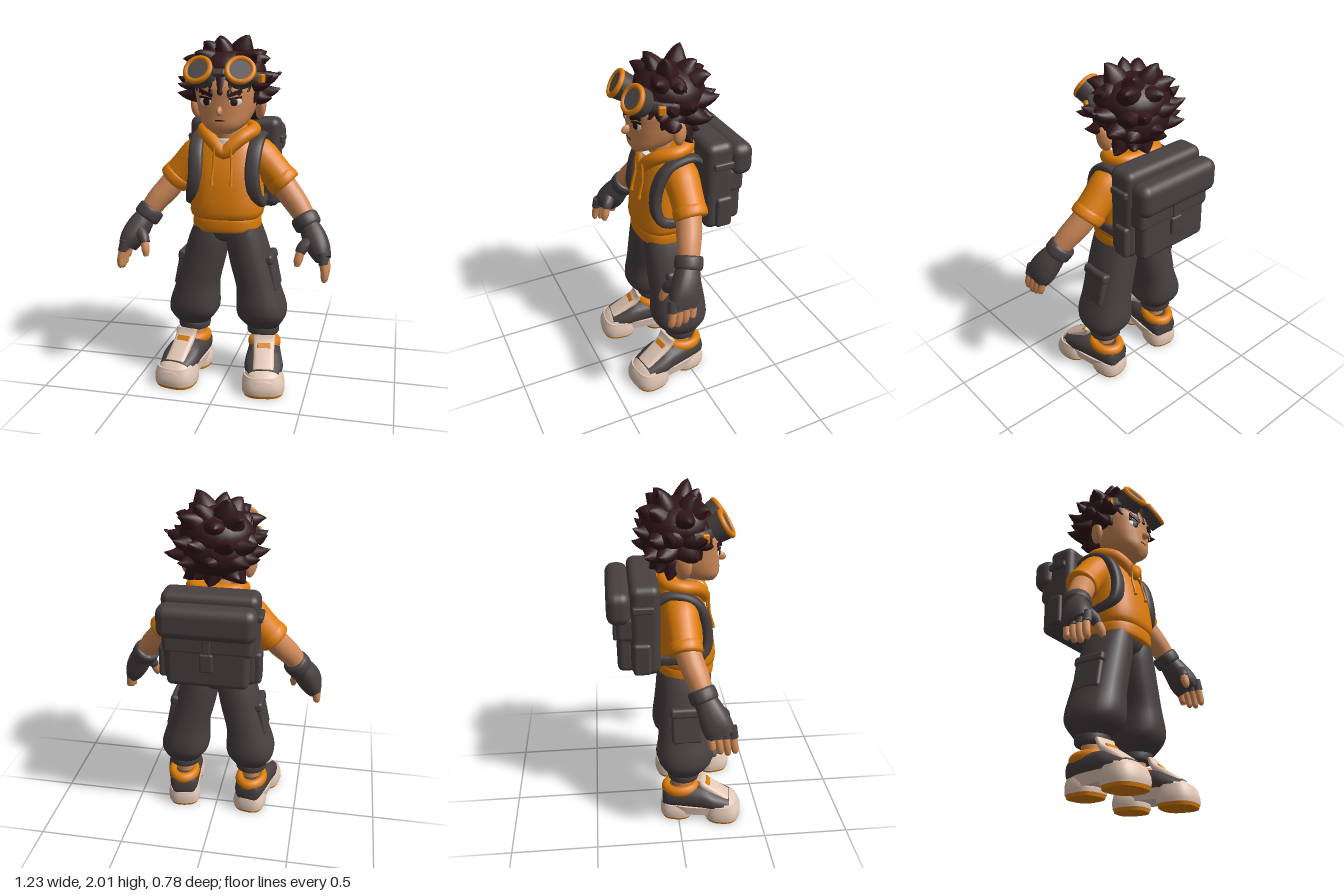
import * as THREE from 'three';
import { toCreasedNormals } from 'three/addons/utils/BufferGeometryUtils.js';
import { RoundedBoxGeometry } from 'three/addons/geometries/RoundedBoxGeometry.js';

const V = (x, y, z) => new THREE.Vector3(x, y, z);
const UP = V(0, 1, 0), DOWN = V(0, -1, 0), FWD = V(0, 0, 1);
const { sin, cos, PI } = Math;

// Smooth skin over rings [x, y, z, halfWidth, halfDepth = halfWidth]; rings face `axis` or follow the path
function loft(input, { axis, n = 20, sub = 3, p = 2 } = {}) {
  const rings = input.map(r => (r.length < 5 ? [...r, r[3]] : r));
  const R = [], last = rings.length - 1;
  for (let i = 0; i < last; i++) {
    const q = [-1, 0, 1, 2].map(k => rings[Math.min(last, Math.max(0, i + k))]);
    for (let k = 0; k < sub; k++) {
      const t = k / sub;
      R.push(q[1].map((b, c) => {
        const a = q[0][c], d = q[2][c], e = q[3][c];
        const v = 0.5 * (2 * b + (d - a) * t + (2 * a - 5 * b + 4 * d - e) * t * t + (3 * b - a - 3 * d + e) * t * t * t);
        return c > 2 ? Math.max(v, 0.001) : v;
      }));
    }
  }
  R.push(rings[last]);
  const pos = [], idx = [], end = R.length - 1;
  const pow = v => Math.sign(v) * Math.abs(v) ** (2 / p);
  R.forEach((r, j) => {
    const a = R[Math.max(0, j - 1)], b = R[Math.min(end, j + 1)];
    const T = axis || V(b[0] - a[0], b[1] - a[1], b[2] - a[2]).normalize();
    const U = Math.abs(T.x) > 0.9 ? V(0, 0, 1) : V(1, 0, 0);
    U.addScaledVector(T, -U.dot(T)).normalize();
    const W = T.clone().cross(U);
    for (let i = 0; i < n; i++) {
      const th = i / n * PI * 2, k = (i + 1) % n, o = j * n;
      const pt = V(r[0], r[1], r[2]).addScaledVector(U, r[3] * pow(cos(th))).addScaledVector(W, r[4] * pow(sin(th)));
      pos.push(pt.x, pt.y, pt.z);
      if (j < end) idx.push(o + i, o + k, o + n + k, o + i, o + n + k, o + n + i);
    }
  });
  const c0 = R.length * n;
  pos.push(...R[0].slice(0, 3), ...R[end].slice(0, 3));
  for (let i = 0; i < n; i++) {
    const k = (i + 1) % n;
    idx.push(c0, k, i, c0 + 1, end * n + i, end * n + k);
  }
  const g = new THREE.BufferGeometry();
  g.setAttribute('position', new THREE.Float32BufferAttribute(pos, 3));
  g.setIndex(idx);
  return toCreasedNormals(g, 1.0);
}

const mir = (rings, s) => rings.map(([x, ...r]) => [x * s, ...r]);
const mix = (a, b, t) => a.map((v, i) => v + (b[i] - v) * t);

// Rolled band of cloth from one point to another
const cuff = (a, b, r) => [0, 0.18, 0.82, 1].map((t, i) => [...mix(a, b, t), i % 3 ? r : r * 0.88]);

// Adds meshes to one parent
const adder = parent => (name, geo, m, pos = [0, 0, 0], rot = [0, 0, 0], scale = [1, 1, 1]) => {
  const mesh = new THREE.Mesh(geo, m);
  mesh.name = name;
  mesh.position.set(...pos);
  mesh.rotation.set(...rot);
  mesh.scale.set(...scale);
  parent.add(mesh);
};

function subGroup(parent, name, pos, pitch, yaw) {
  const g = new THREE.Group();
  g.name = name;
  g.position.set(...pos);
  g.rotation.set(pitch, yaw, 0, 'YXZ');
  parent.add(g);
  return adder(g);
}

export function createModel() {
  const mat = (name, color) => new THREE.MeshStandardMaterial({ name, color });
  const skin = mat('skin', 0xd08a58), orange = mat('orange', 0xde7d08), dark = mat('charcoal', 0x484041);
  const hair = mat('hair', 0x311619), cream = mat('cream', 0xe3c8b7);
  const white = mat('white', 0xe8e4e0), eyeDark = mat('eye dark', 0x2a1614), lens = mat('lens', 0x55504f);
  const root = new THREE.Group();
  root.name = 'character';
  const add = adder(root);
  const ball = new THREE.SphereGeometry(1, 24, 16);
  const box = (w, h, d, r = 0.02) => new RoundedBoxGeometry(w, h, d, 3, r);
  const plate = (w, h) => new THREE.BoxGeometry(w, h, 0.009);

  // Head, neck and face
  add('head', loft([[0, 1.478, 0.18, 0.05], [0, 1.52, 0.135, 0.115], [0, 1.58, 0.09, 0.15, 0.16],
    [0, 1.66, 0.07, 0.17, 0.18], [0, 1.76, 0.06, 0.175, 0.18], [0, 1.9, 0.04, 0.08]], { axis: UP, n: 28, p: 2.3 }), skin);
  add('neck', loft([[0, 1.36, 0.05, 0.075], [0, 1.56, 0.07, 0.07]], { axis: UP }), skin);
  add('undershirt', loft([[0, 1.35, 0.08, 0.09, 0.1], [0, 1.44, 0.07, 0.09, 0.1]], { axis: UP }), white);
  add('nose', ball, skin, [0, 1.605, 0.258], [0.35, 0, 0], [0.016, 0.024, 0.034]);
  add('mouth', plate(0.05, 0.007), eyeDark, [0, 1.553, 0.247]);
  for (const s of [1, -1]) {
    add('ear', ball, skin, [s * 0.185, 1.612, 0.035], [0.15, s * 0.45, s * -0.15], [0.028, 0.07, 0.045]);
    add('eyeWhite', ball, white, [s * 0.083, 1.655, 0.236], [0, s * 0.33, 0], [0.036, 0.022, 0.005]);
    add('iris', ball, eyeDark, [s * 0.077, 1.655, 0.241], [0, s * 0.33, 0], [0.021, 0.022, 0.005]);
    add('upperLid', plate(0.074, 0.01), eyeDark, [s * 0.083, 1.675, 0.238], [0, s * 0.33, s * 0.15]);
    add('eyebrow', plate(0.085, 0.02), hair, [s * 0.08, 1.7, 0.241], [0, s * 0.33, s * 0.33]);
  }

  // Hair: two rounded masses covered in broad tapering locks
  add('hairCap', ball, hair, [0, 1.8, 0.015], [-0.1, 0, 0], [0.21, 0.14, 0.195]);
  add('hairBack', ball, hair, [0, 1.71, -0.05], [0, 0, 0], [0.185, 0.14, 0.135]);
  const lock = (a, b, r) => {
    const bend = b[1] > a[1] + 0.06 ? 0.016 : -0.016;
    const ring = (t, lift, k) => { const [x, y, z] = mix(a, b, t); return [x, y + lift, z, r * k, r * k * 0.8]; };
    add('hairLock', loft([ring(0, 0, 1), ring(0.4, bend, 0.85), ring(0.75, bend, 0.42), ring(1, 0, 0.02)], { n: 12 }), hair);
  };
  // Rows fan around the back: count, fan angle, base height and radius, tip height and radius, thickness
  const rows = [
    [4, 4.4, 1.83, 0.06, 1.985, 0.16, 0.085], [7, 5, 1.8, 0.07, 1.895, 0.255, 0.09], [8, 4, 1.76, 0.08, 1.8, 0.3, 0.09],
    [7, 3.7, 1.71, 0.08, 1.69, 0.295, 0.085], [5, 2.6, 1.67, 0.06, 1.555, 0.19, 0.08]];
  rows.forEach(([n, fan, y, r, tipY, tipR, w], row) => {
    for (let i = 0; i < n; i++) {
      const a = PI + (i / (n - 1) - 0.5) * fan, wob = sin(i * 2.4 + row * 1.7);
      const at = (ang, rad, h) => [sin(ang) * rad, h, 0.01 + cos(ang) * rad * 0.83];
      lock(at(a, r, y), at(a + wob * 0.15, tipR + wob * 0.012, tipY + cos(i * 2.9 + row) * 0.02), w);
    }
  });
  lock([0, 1.82, 0.06], [-0.03, 1.99, 0.13], 0.075);
  // Fringe and sideburns
  for (let i = -3; i <= 3; i++) {
    const a = i * 0.27;
    lock([sin(a) * 0.15, 1.81, 0.03 + cos(a) * 0.15], [sin(a) * 0.2, 1.69 + (i % 2) * i * 0.006, 0.05 + cos(a) * 0.215], 0.048);
  }
  for (const s of [1, -1]) {
    lock([s * 0.15, 1.77, 0.1], [s * 0.165, 1.64, 0.13], 0.045);
    lock([s * 0.12, 1.77, 0.08], [s * 0.255, 1.745, 0.18], 0.06);
  }

  // Goggles pushed up on the forehead
  const barrel = new THREE.CylinderGeometry(0.082, 0.075, 0.075, 24).rotateX(PI / 2);
  const disc = new THREE.CylinderGeometry(0.062, 0.062, 0.008, 24).rotateX(PI / 2);
  for (const s of [1, -1]) {
    const addLens = subGroup(root, 'goggle', [s * 0.11, 1.805, 0.235], -0.55, s * 0.2);
    addLens('goggleBody', barrel, dark);
    addLens('goggleRim', new THREE.TorusGeometry(0.07, 0.015, 10, 28), orange, [0, 0, 0.038]);
    addLens('goggleLens', disc, lens, [0, 0, 0.04]);
    add('goggleStrap', loft([0.6, 0.85, 1.1, 1.3].map(a => [s * 0.01 + s * sin(a) * 0.21, 1.8 - a * 0.018, 0.03 + cos(a) * 0.21, 0.015, 0.028]),
      { n: 12, p: 4 }), dark);
    add('strapClip', box(0.03, 0.05, 0.04, 0.008), orange, [s * 0.208, 1.775, 0.145], [0, s * -0.3, 0]);
  }
  add('goggleBridge', box(0.07, 0.04, 0.035, 0.01), dark, [0, 1.81, 0.265], [-0.5, 0, 0]);

  // Hoodie
  const bodice = { axis: UP, n: 32, p: 2.6 };
  add('hoodieBody', loft([[0, 0.985, 0.065, 0.185, 0.155], [0, 1.03, 0.068, 0.212, 0.17], [0, 1.22, 0.055, 0.2, 0.155],
    [0, 1.34, 0.035, 0.19, 0.133], [0, 1.41, 0.02, 0.16, 0.115], [0, 1.45, 0.01, 0.1, 0.09]], bodice), orange);
  add('hoodieHem', loft([0.915, 0.93, 0.985, 1].map((y, i) => [0, y, 0.065, i % 3 ? 0.195 : 0.186, i % 3 ? 0.163 : 0.155]), bodice), orange);
  const hoodSide = [[0.045, 1.405, 0.155], [0.105, 1.455, 0.115], [0.145, 1.48, 0.03], [0.11, 1.49, -0.05]];
  const hoodPath = [[0, 1.365, 0.165], ...hoodSide, [0, 1.49, -0.065], ...mir(hoodSide, -1).reverse()];
  add('hood', new THREE.TubeGeometry(new THREE.CatmullRomCurve3(hoodPath.map(q => V(...q)), true), 60, 0.039, 12, true), orange);
  add('hoodDrape', loft([[0, 1.37, 0, 0.18, 0.11], [0, 1.42, -0.01, 0.185, 0.105], [0, 1.47, -0.025, 0.165, 0.085], [0, 1.51, -0.05, 0.12, 0.055]],
    { axis: UP, n: 28 }), orange);

  for (const s of [1, -1]) {
    const limb = (name, rings, m, o) => add(name, loft(mir(rings, s), o), m);
    limb('drawstring', [[0.045, 1.4, 0.195, 0.006], [0.052, 1.3, 0.197, 0.007], [0.055, 1.23, 0.215, 0.007], [0.055, 1.19, 0.222, 0.011]], orange, { n: 8 });

    // Arm with short sleeve and fingerless glove
    limb('sleeve', [[0.1, 1.38, 0.015, 0.07, 0.085], [0.17, 1.345, 0.02, 0.1], [0.25, 1.265, 0.025, 0.094], [0.31, 1.2, 0.03, 0.092]], orange);
    limb('sleeveCuff', cuff([0.29, 1.22, 0.03], [0.338, 1.17, 0.033], 0.096), orange);
    limb('arm', [[0.29, 1.22, 0.03, 0.07], [0.36, 1.13, 0.06, 0.071], [0.42, 1.06, 0.09, 0.066], [0.49, 0.96, 0.125, 0.052]], skin);
    limb('gloveCuff', cuff([0.445, 1.015, 0.1], [0.485, 0.955, 0.124], 0.078), dark);
    limb('gloveHand', [[0.48, 0.97, 0.12, 0.055, 0.062], [0.515, 0.91, 0.15, 0.068, 0.076], [0.55, 0.845, 0.178, 0.064, 0.086], [0.575, 0.795, 0.2, 0.045, 0.078]], dark, { p: 2.5 });
    for (let i = 0; i < 4; i++) {
      const z = 0.14 + i * 0.04, low = 0.677 + (i - 2) ** 2 * 0.01;
      limb('fingerSleeve', [[0.57, 0.85, z, 0.024], [0.583, 0.785, z + 0.006, 0.026]], dark, { n: 10 });
      limb('finger', [[0.58, 0.8, z, 0.022], [0.592, 0.735, z + 0.01, 0.022], [0.59, low + 0.012, z + 0.016, 0.017], [0.588, low, z + 0.017, 0.007]], skin, { n: 10 });
    }
    limb('thumbSleeve', [[0.52, 0.91, 0.18, 0.04], [0.465, 0.865, 0.225, 0.034], [0.45, 0.835, 0.24, 0.028]], dark, { n: 12 });
    limb('thumb', [[0.455, 0.85, 0.235, 0.024], [0.442, 0.795, 0.255, 0.024], [0.438, 0.762, 0.264, 0.013]], skin, { n: 10 });

    // Cargo trouser leg
    limb('trouserLeg', [[0.1, 0.94, 0.06, 0.092, 0.145], [0.11, 0.86, 0.058, 0.115, 0.152], [0.143, 0.72, 0.055, 0.124, 0.155],
      [0.183, 0.57, 0.05, 0.127, 0.16], [0.202, 0.46, 0.048, 0.145, 0.168], [0.207, 0.39, 0.045, 0.144, 0.155],
      [0.213, 0.32, 0.037, 0.098]], dark, { axis: DOWN, n: 24, p: 2.4 });
    limb('trouserCuff', cuff([0.213, 0.335, 0.037], [0.213, 0.27, 0.037], 0.095), dark);
    add('cargoPocket', box(0.055, 0.19, 0.18), dark, [s * 0.268, 0.65, 0.05], [0, 0, s * 0.2]);
    add('pocketFlap', box(0.06, 0.06, 0.195), dark, [s * 0.253, 0.745, 0.05], [0, 0, s * 0.2]);
    limb('ankle', [[0.213, 0.14, 0.035, 0.058], [0.213, 0.31, 0.035, 0.058]], skin);

    // Chunky trainer, toes turned out
    const addShoe = subGroup(root, 'shoe', [s * 0.215, 0, 0], 0, s * 0.16);
    const slab = { axis: UP, n: 28, p: 2.7, sub: 2 }, along = { axis: FWD, p: 2.4 };
    for (const [z, a, b, top] of [[0.278, 0.124, 0.112, 0.115], [0, 0.1, 0.102, 0.1]]) {
      addShoe('outsole', loft([[0, 0, z, a - 0.01, b - 0.01], [0, 0.022, z, a - 0.004, b - 0.004]], slab), orange);
      addShoe('midsole', loft([[0, 0.018, z, a - 0.002, b - 0.002], [0, 0.06, z, a, b], [0, top, z - 0.008, a - 0.012, b - 0.016]], slab), cream);
    }
    addShoe('soleBridge', loft([[0, 0.045, 0.14, 0.095, 0.2], [0, 0.105, 0.14, 0.104, 0.21]], slab), cream);
    addShoe('shoeUpper', loft([[0, 0.13, -0.088, 0.055], [0, 0.145, -0.05, 0.086, 0.075], [0, 0.145, 0.15, 0.106, 0.078],
      [0, 0.13, 0.23, 0.112, 0.06], [0, 0.11, 0.32, 0.09, 0.038]], along), dark);
    addShoe('toeCap', loft([[0, 0.1, 0.29, 0.108, 0.054], [0, 0.095, 0.33, 0.092, 0.046], [0, 0.075, 0.378, 0.05, 0.025]], along), cream);
    addShoe('tongue', loft([[0, 0.13, 0.3, 0.062, 0.03], [0, 0.19, 0.22, 0.06, 0.025], [0, 0.24, 0.155, 0.062, 0.02], [0, 0.285, 0.135, 0.068, 0.014]], { p: 3.5 }), cream);
    addShoe('tongueTag', box(0.078, 0.034, 0.009, 0.004), orange, [0, 0.24, 0.188], [-0.75, 0, 0]);
    addShoe('shoeCollar', new THREE.TorusGeometry(0.072, 0.027, 12, 24), orange, [0, 0.2, 0.022], [PI / 2 - 0.08, 0, 0], [1, 1.2, 1.25]);

    // Shoulder strap, side pocket and side strap of the backpack
    limb('shoulderStrap', [[0.17, 1.4, -0.12, 0.038, 0.02], [0.175, 1.45, -0.04, 0.038, 0.02], [0.175, 1.43, 0.065, 0.04, 0.024],
      [0.168, 1.36, 0.135, 0.042, 0.028], [0.163, 1.24, 0.17, 0.042, 0.03], [0.18, 1.13, 0.165, 0.04, 0.03],
      [0.208, 1.08, 0.1, 0.022, 0.03], [0.19, 1.06, -0.12, 0.015, 0.03]], dark, { n: 16, p: 3 });
    add('packSidePocket', box(0.05, 0.19, 0.1), dark, [s * 0.265, 1.115, -0.2]);
    add('packSideStrap', box(0.03, 0.04, 0.12, 0.01), dark, [s * 0.275, 1.41, -0.19]);
  }
  add('trouserSeat', loft([[0, 0.85, 0.058, 0.05, 0.1], [0, 0.88, 0.058, 0.15, 0.135], [0, 0.95, 0.06, 0.18, 0.148]], { axis: UP, p: 2.5 }), dark);

  // Backpack with bedroll, flap and buckle
  add('packBody', box(0.54, 0.53, 0.165, 0.045), dark, [0, 1.27, -0.178]);
  add('packPocket', box(0.46, 0.27, 0.1, 0.035), dark, [0, 1.15, -0.285]);
  add('packFlap', box(0.5, 0.15, 0.12, 0.03), dark, [0, 1.285, -0.278]);
  add('bedroll', box(0.545, 0.19, 0.135, 0.055), dark, [0, 1.405, -0.32]);
  add('packBuckle', box(0.075, 0.11, 0.03, 0.012), dark, [0, 1.175, -0.34]);
  add('buckleStrap', box(0.045, 0.16, 0.02, 0.008), dark, [0, 1.25, -0.338]);
  return root;
}
